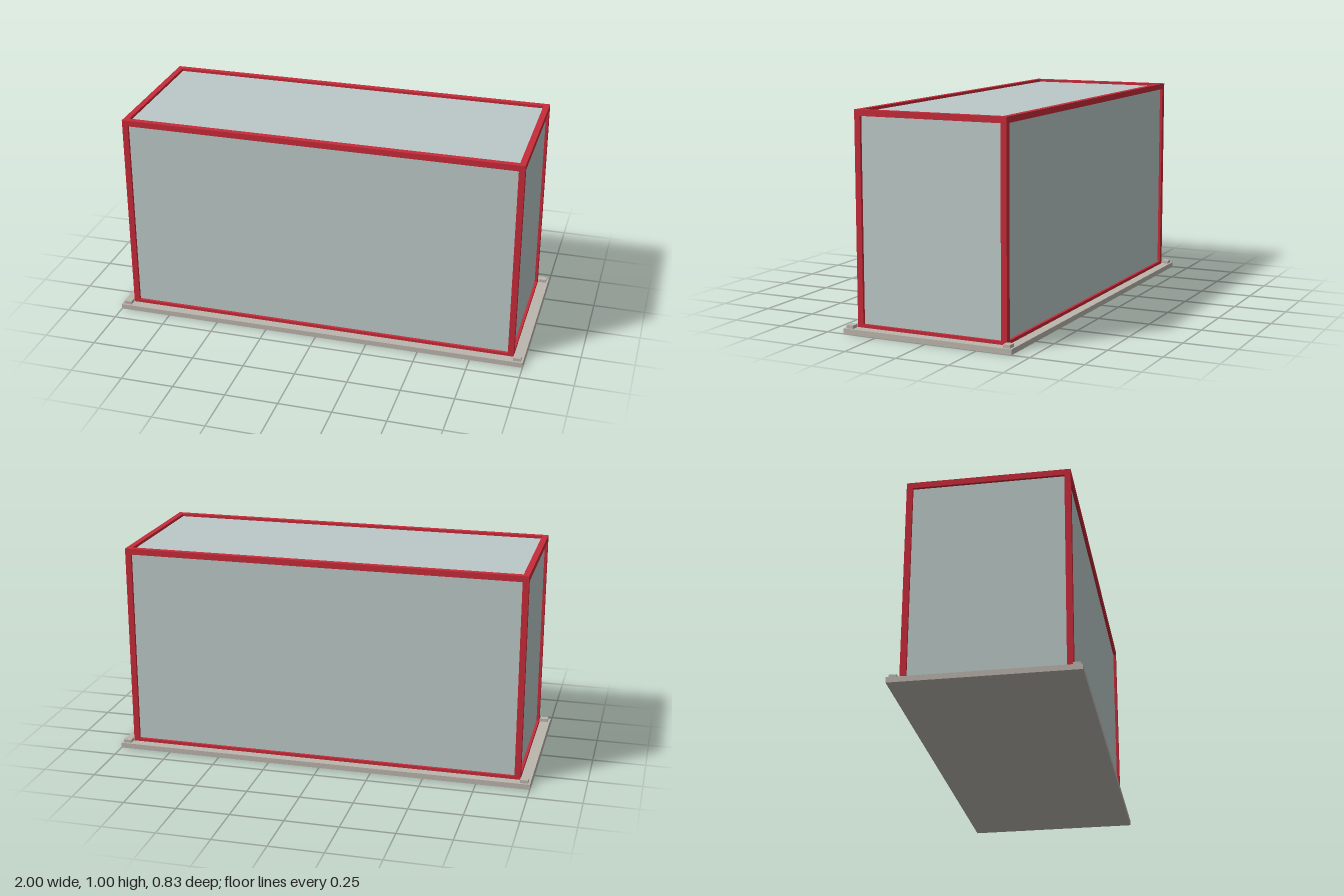
import * as THREE from 'three';

const red = new THREE.MeshStandardMaterial({ name: 'frame red', color: 0xc62b39 });
const grey = new THREE.MeshStandardMaterial({ name: 'panel pale grey', color: 0xbbc9c8 });
const stone = new THREE.MeshStandardMaterial({ name: 'base stone', color: 0xbab5ac });

// Half width, half depth, bottom and top of the frame, bar thickness, panel recess
const HX = 0.95, HZ = 0.37, Y0 = 0.012, Y1 = 1, BAR = 0.028, RECESS = 0.013;

export function createModel() {
  const model = new THREE.Group();
  model.name = 'framedCabinet';

  const box = (name, material, size, position) => {
    const mesh = new THREE.Mesh(new THREE.BoxGeometry(...size), material);
    mesh.name = name;
    mesh.position.set(...position);
    model.add(mesh);
  };

  // Base slab
  box('base', stone, [2, 0.025, 0.83], [0, 0.0125, 0]);

  // Body whose faces are the recessed panels
  const bodyTop = Y1 - RECESS;
  box('body', grey, [2 * (HX - RECESS), bodyTop - 0.02, 2 * (HZ - RECESS)], [0, (bodyTop + 0.02) / 2, 0]);

  const x = HX - BAR / 2, z = HZ - BAR / 2;
  for (const sx of [-1, 1]) {
    for (const sz of [-1, 1]) {
      // Corner posts and the small feet outside them
      box('cornerPost', red, [BAR, Y1 - Y0, BAR], [sx * x, (Y0 + Y1) / 2, sz * z]);
      box('cornerFoot', stone, [0.038, 0.02, 0.034], [sx * 0.971, 0.03, sz * 0.388]);
    }
  }

  // Rails between the posts, at the bottom and the top
  for (const y of [Y0 + BAR / 2, Y1 - BAR / 2]) {
    for (const s of [-1, 1]) {
      box('longRail', red, [2 * (HX - BAR), BAR, BAR], [0, y, s * z]);
      box('shortRail', red, [BAR, BAR, 2 * (HZ - BAR)], [s * x, y, 0]);
    }
  }
  return model;
}
